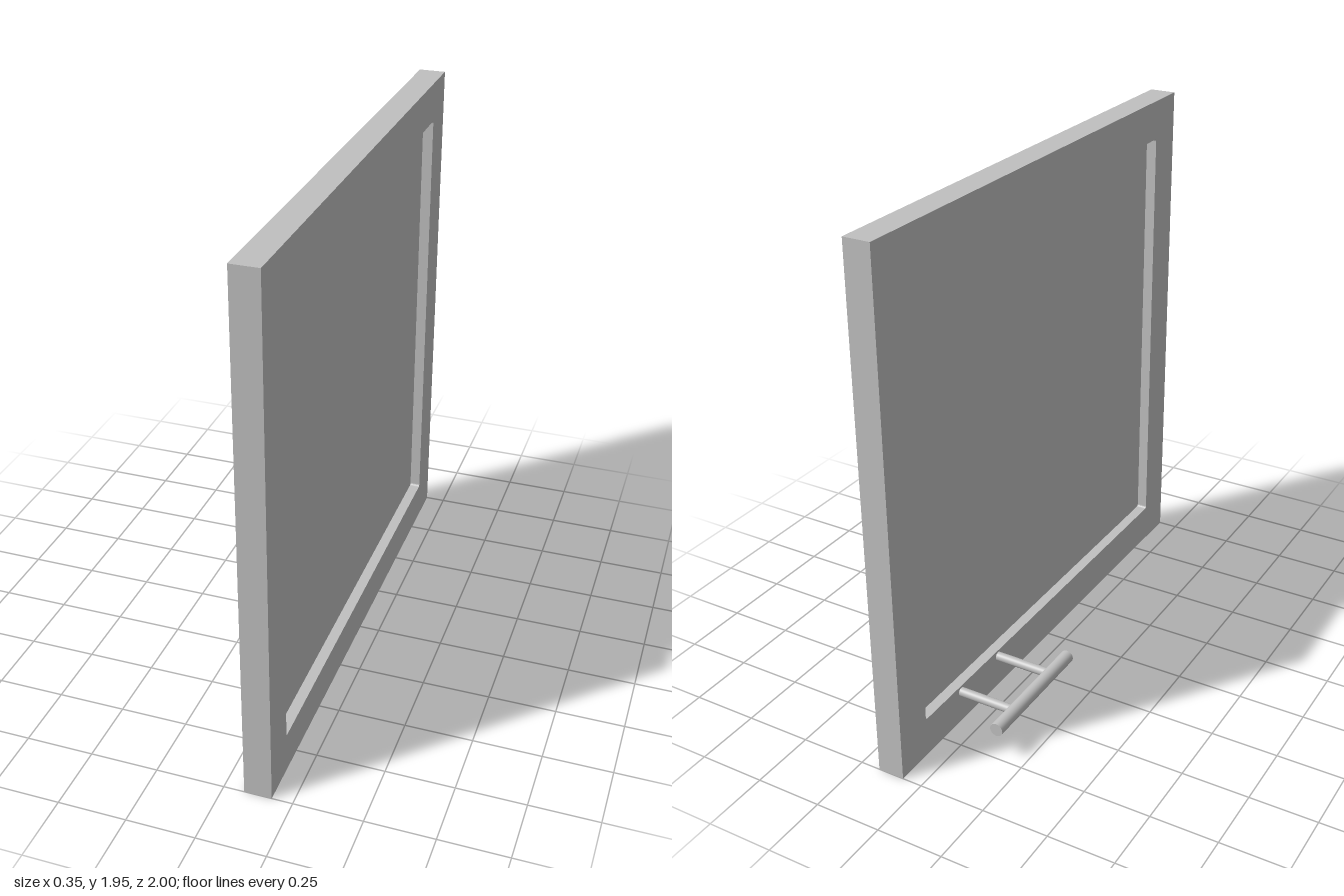
import * as THREE from 'three';

const grey = new THREE.MeshStandardMaterial({ color: 0xc0c0c0 });
grey.name = 'light grey';

const DEPTH = 0.1, FACE_X = 0.075, HEIGHT = 1.95;

function add(group, name, geometry, x, y, z) {
  const mesh = new THREE.Mesh(geometry, grey);
  mesh.name = name;
  mesh.position.set(x, y, z);
  group.add(mesh);
  return mesh;
}

// Opening with slightly rounded corners
function openingPath(w, h, r) {
  const p = new THREE.Path();
  p.absarc(w - r, h[1] - r, r, 0, Math.PI / 2);
  p.absarc(-w + r, h[1] - r, r, Math.PI / 2, Math.PI);
  p.absarc(-w + r, h[0] + r, r, Math.PI, Math.PI * 1.5);
  p.absarc(w - r, h[0] + r, r, Math.PI * 1.5, Math.PI * 2);
  p.closePath();
  return p;
}

export function createModel() {
  const model = new THREE.Group();
  model.name = 'cabinetDoor';

  // Frame: a rectangle with an opening, extruded along x
  const outline = new THREE.Shape([
    new THREE.Vector2(-1, 0), new THREE.Vector2(1, 0),
    new THREE.Vector2(1, HEIGHT), new THREE.Vector2(-1, HEIGHT),
  ]);
  outline.holes.push(openingPath(0.85, [0.15, 1.8], 0.01));
  const frame = new THREE.ExtrudeGeometry(outline, { depth: DEPTH, bevelEnabled: false, curveSegments: 4 });
  frame.rotateY(Math.PI / 2);
  add(model, 'frame', frame, FACE_X, 0, 0);

  // Thin panel, recessed equally on both faces
  add(model, 'panel', new THREE.BoxGeometry(0.02, 1.66, 1.71), FACE_X + DEPTH / 2, 0.975, 0);

  // Bar handle on two posts
  const handle = new THREE.Group();
  handle.name = 'handle';
  handle.position.set(0, 0.125, -0.5);
  add(handle, 'handleBar', new THREE.CylinderGeometry(0.025, 0.025, 0.5, 32).rotateX(Math.PI / 2), -0.15, 0, 0);
  for (const z of [-0.125, 0.125]) {
    const post = new THREE.CylinderGeometry(0.017, 0.017, 0.225, 32).rotateZ(Math.PI / 2);
    add(handle, 'handlePost', post, -0.0375, 0, z);
  }
  model.add(handle);

  return model;
}
